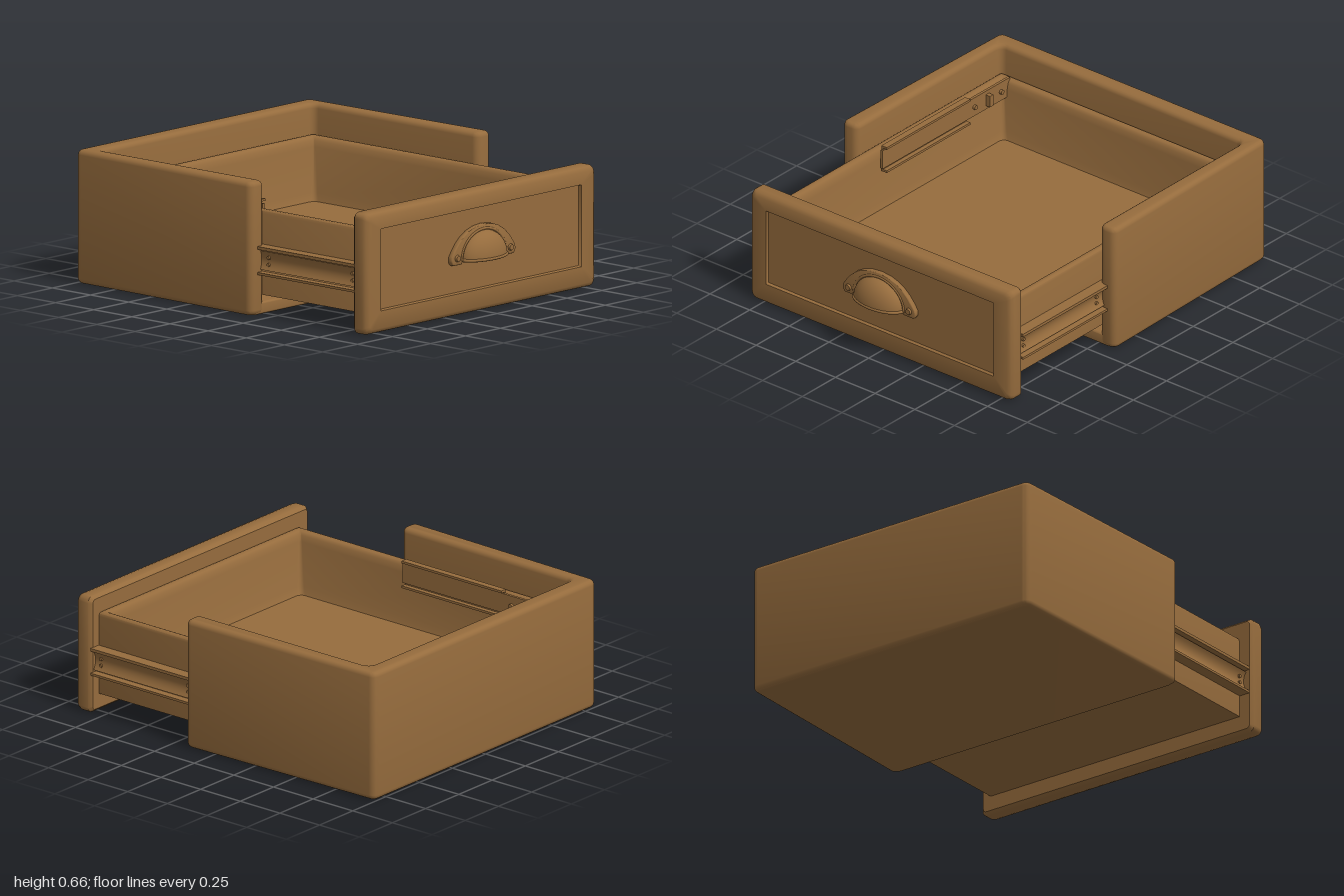
import * as THREE from 'three';
import { toCreasedNormals } from 'three/addons/utils/BufferGeometryUtils.js';

const wood = new THREE.MeshStandardMaterial({ color: 0x966c3d, side: THREE.DoubleSide });
wood.name = 'brown wood';

function add(parent, name, geometry, x = 0, y = 0, z = 0) {
  const mesh = new THREE.Mesh(geometry, wood);
  mesh.name = name;
  mesh.position.set(x, y, z);
  parent.add(mesh);
  return mesh;
}

// Skin over stacked rounded rectangles [x0, x1, z0, z1, height, cornerRadius], capped at both ends
function loft(sections) {
  const rings = sections.map(([x0, x1, z0, z1, h, r]) => {
    const ring = [];
    for (let c = 0; c < 4; c++) {
      const cx = c === 0 || c === 3 ? x1 - r : x0 + r;
      const cz = c < 2 ? z0 + r : z1 - r;
      for (let k = 0; k <= 4; k++) {
        const a = (c + k / 4) * Math.PI / 2;
        ring.push(new THREE.Vector3(cx + r * Math.cos(a), h, cz - r * Math.sin(a)));
      }
    }
    return ring;
  });
  const pts = [];
  const n = rings[0].length;
  for (let s = 0; s + 1 < rings.length; s++) {
    for (let i = 0; i < n; i++) {
      const j = (i + 1) % n, a = rings[s], b = rings[s + 1];
      pts.push(a[i], a[j], b[j], a[i], b[j], b[i]);
    }
  }
  const last = rings[rings.length - 1];
  for (let i = 1; i + 1 < n; i++) {
    pts.push(rings[0][0], rings[0][i + 1], rings[0][i]);
    pts.push(last[0], last[i], last[i + 1]);
  }
  return toCreasedNormals(new THREE.BufferGeometry().setFromPoints(pts), 0.75);
}

// Polygon with circular corners
function softShape(points, r) {
  const p = points.map(([x, y]) => new THREE.Vector2(x, y));
  const shape = new THREE.Shape();
  p.forEach((c, i) => {
    const toPrev = p[(i + p.length - 1) % p.length].clone().sub(c).normalize();
    const toNext = p[(i + 1) % p.length].clone().sub(c).normalize();
    const at = (dir, d) => c.clone().addScaledVector(dir, d);
    const a = at(toPrev, r), b = at(toNext, r);
    const ha = at(toPrev, r * 0.448), hb = at(toNext, r * 0.448);
    if (i === 0) shape.moveTo(a.x, a.y); else shape.lineTo(a.x, a.y);
    shape.bezierCurveTo(ha.x, ha.y, hb.x, hb.y, b.x, b.y);
  });
  shape.closePath();
  return shape;
}

function extrude(shape, depth, bevel = 0) {
  const g = new THREE.ExtrudeGeometry(shape, {
    depth: depth - 2 * bevel, bevelEnabled: bevel > 0, bevelSize: bevel, bevelThickness: bevel,
    bevelOffset: -bevel, bevelSegments: 4, curveSegments: 6,
  });
  g.translate(0, 0, bevel);
  return toCreasedNormals(g, 0.6);
}

function createCase() {
  const group = new THREE.Group();
  group.name = 'outerCase';
  // Three walls in one piece, flaring slightly toward the opening
  const walls = softShape([
    [-1, -0.837], [0.175, -0.862], [0.175, -0.762], [-0.905, -0.762],
    [-0.905, 0.762], [0.175, 0.762], [0.175, 0.862], [-1, 0.837],
  ], 0.036);
  add(group, 'caseWalls', extrude(walls, 0.66, 0.025).rotateX(-Math.PI / 2));
  const floor = softShape([[-0.99, -0.825], [0.17, -0.84], [0.17, 0.84], [-0.99, 0.825]], 0.03);
  add(group, 'caseFloor', extrude(floor, 0.06, 0.01).rotateX(-Math.PI / 2));
  return group;
}

function createTray() {
  // [inset, height, corner]: outside, soft rim, sloped inner walls, floor
  const steps = [
    [0, 0.09, 0.012], [0, 0.49, 0.012], [0.003, 0.503, 0.012], [0.012, 0.51, 0.012],
    [0.026, 0.51, 0.012], [0.038, 0.505, 0.012], [0.046, 0.49, 0.012], [0.052, 0.46, 0.015],
    [0.068, 0.24, 0.025], [0.08, 0.20, 0.03],
  ];
  return loft(steps.map(([d, y, r]) => [-0.9 + d, 0.815 - d, -0.755 + d, 0.755 - d, y, r]));
}

function createFrontPanel() {
  // Slab with rounded edges and a recessed field; first two values are heights, negated
  return loft([
    [-0.585, -0.015, -0.80, 0.815, 0.808, 0.02],
    [-0.60, 0, -0.815, 0.83, 0.825, 0.03],
    [-0.60, 0, -0.815, 0.83, 0.875, 0.03],
    [-0.594, -0.006, -0.809, 0.824, 0.893, 0.03],
    [-0.575, -0.025, -0.79, 0.805, 0.905, 0.02],
    [-0.515, -0.11, -0.708, 0.728, 0.905, 0.003],
    [-0.511, -0.115, -0.704, 0.724, 0.89, 0.003],
  ]).rotateZ(-Math.PI / 2);
}

function createRail(side) {
  const group = new THREE.Group();
  group.name = side > 0 ? 'leftRail' : 'rightRail';
  // Profiles are [outward, height], swept along x
  const sweep = (profile) => {
    const shape = new THREE.Shape(profile.map(([d, y]) => new THREE.Vector2(-side * d, y)));
    return extrude(shape, 0.76).rotateY(Math.PI / 2);
  };
  add(group, 'runnerChannel', sweep([
    [0.75, 0.20], [0.815, 0.20], [0.815, 0.212], [0.775, 0.212], [0.768, 0.222],
    [0.768, 0.318], [0.775, 0.325], [0.815, 0.325], [0.815, 0.34], [0.75, 0.34],
  ]), 0.05);
  // Dished inner runner
  const dish = Array.from({ length: 9 }, (_, i) => {
    const t = i / 4 - 1;
    return [0.778 + 0.016 * t * t, 0.27 + 0.047 * t];
  });
  add(group, 'innerRunner', sweep([[0.76, 0.223], ...dish, [0.76, 0.317]]), 0.05);
  for (const x of [0.22, 0.77]) {
    for (const y of [0.25, 0.285]) {
      const bolt = new THREE.CylinderGeometry(0.009, 0.009, 0.02, 12).rotateX(Math.PI / 2);
      add(group, 'runnerBolt', bolt, x, y, side * 0.779);
    }
  }
  return group;
}

function createInnerSlide() {
  const group = new THREE.Group();
  group.name = 'innerSlide';
  add(group, 'slidePlate', new THREE.BoxGeometry(0.96, 0.1, 0.014), -0.39, 0.47, 0.68);
  add(group, 'slideWeb', new THREE.BoxGeometry(0.63, 0.13, 0.01), -0.235, 0.47, 0.684);
  for (const y of [0.406, 0.534]) {
    add(group, 'slideLip', new THREE.BoxGeometry(0.63, 0.012, 0.034), -0.235, y, 0.672);
  }
  add(group, 'slideStop', new THREE.BoxGeometry(0.025, 0.06, 0.05), -0.70, 0.47, 0.672);
  for (const x of [-0.8, -0.6]) {
    const bolt = new THREE.CylinderGeometry(0.012, 0.012, 0.02, 12).rotateX(Math.PI / 2);
    add(group, 'slideBolt', bolt, x, 0.47, 0.67);
  }
  return group;
}

function createHandle() {
  const group = new THREE.Group();
  group.name = 'cupHandle';
  group.position.set(0.89, 0.255, 0.005);
  // Mounting flange with two screw feet
  const s = new THREE.Shape();
  s.moveTo(-0.215, 0);
  s.lineTo(-0.155, 0);
  s.lineTo(-0.15, 0.015);
  s.lineTo(0.15, 0.015);
  s.lineTo(0.155, 0);
  s.lineTo(0.215, 0);
  s.quadraticCurveTo(0.235, 0.015, 0.225, 0.045);
  s.bezierCurveTo(0.19, 0.10, 0.13, 0.178, 0, 0.178);
  s.bezierCurveTo(-0.13, 0.178, -0.19, 0.10, -0.225, 0.045);
  s.quadraticCurveTo(-0.235, 0.015, -0.215, 0);
  add(group, 'handleFlange', extrude(s, 0.028, 0.006).rotateY(Math.PI / 2));
  // Hollow cup, open below
  const cup = new THREE.SphereGeometry(1, 28, 14, Math.PI / 2, Math.PI, 0, Math.PI / 2);
  cup.scale(0.085, 0.13, 0.15);
  add(group, 'handleCup', cup, 0.02, 0.018);
  const arc = (f) => new THREE.CatmullRomCurve3(
    Array.from({ length: 17 }, (_, i) => f((i / 16 - 0.5) * Math.PI)));
  const lip = arc((a) => new THREE.Vector3(0.02 + 0.082 * Math.cos(a), 0.018, 0.15 * Math.sin(a)));
  add(group, 'handleLip', new THREE.TubeGeometry(lip, 32, 0.008, 8));
  const bead = arc((a) => new THREE.Vector3(0.026, 0.018 + 0.137 * Math.cos(a), 0.158 * Math.sin(a)));
  add(group, 'handleBead', new THREE.TubeGeometry(bead, 32, 0.007, 8));
  for (const z of [-0.19, 0.19]) {
    const screw = new THREE.CylinderGeometry(0.014, 0.018, 0.012, 16).rotateZ(-Math.PI / 2);
    add(group, 'handleScrew', screw, 0.032, 0.034, z);
  }
  return group;
}

export function createModel() {
  const model = new THREE.Group();
  model.name = 'openDrawer';
  model.add(createCase());
  add(model, 'drawerTray', createTray());
  add(model, 'drawerFront', createFrontPanel());
  model.add(createRail(1), createRail(-1), createInnerSlide(), createHandle());
  return model;
}
